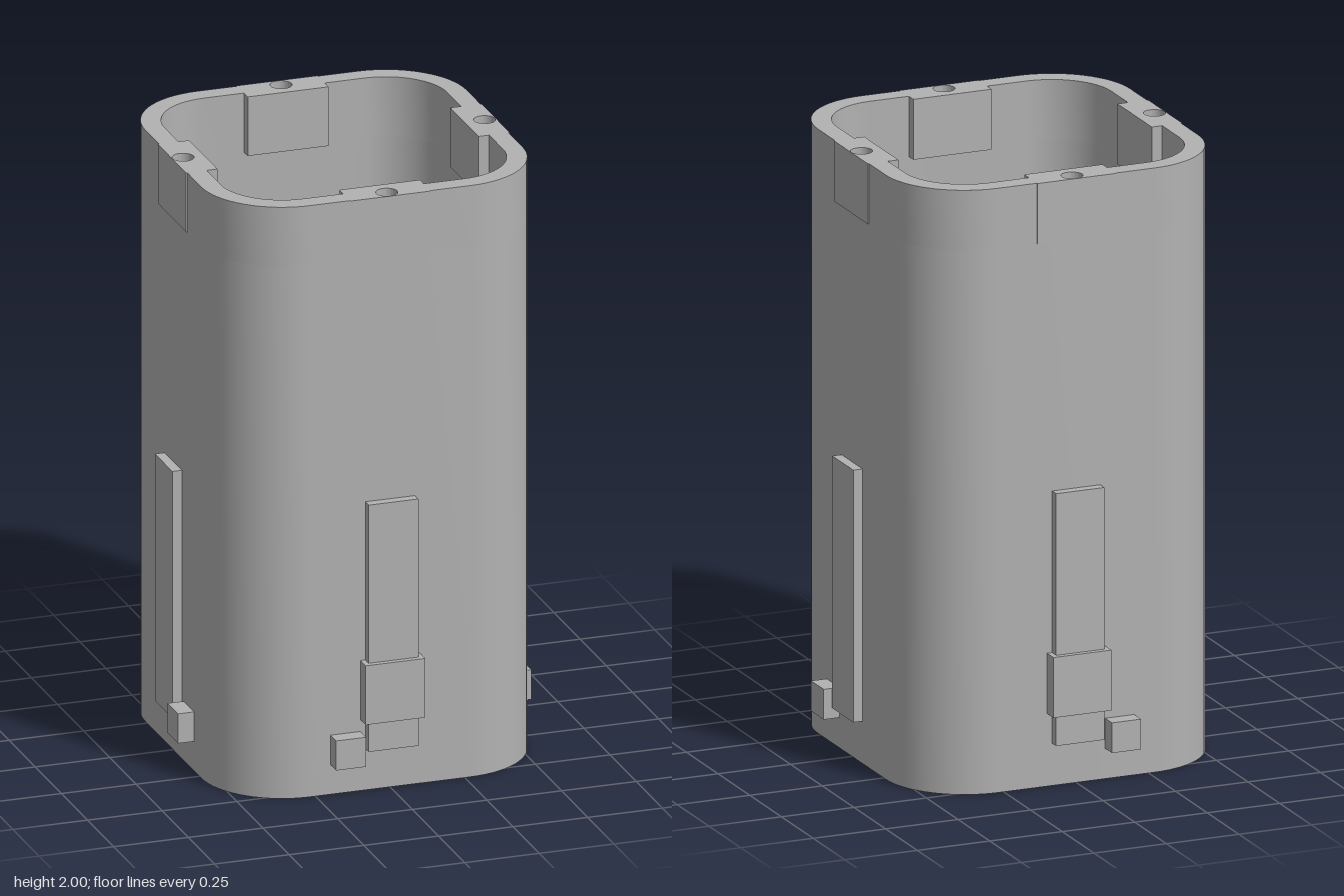
import * as THREE from 'three';
import { toCreasedNormals } from 'three/addons/utils/BufferGeometryUtils.js';

const OUTER = 0.538, INNER = 0.473, TAB = 0.135;

// Rounded square outline; tab is the distance of an optional flat pad on each side
function outline(half, radius, tab) {
  const points = [];
  const origin = new THREE.Vector2();
  for (let side = 0; side < 4; side++) {
    const add = (x, y) => points.push(new THREE.Vector2(x, y).rotateAround(origin, side * Math.PI / 2));
    if (tab) {
      add(half, -TAB);
      add(tab, -TAB);
      add(tab, TAB);
      add(half, TAB);
    }
    for (let i = 0; i <= 16; i++) {
      const a = i / 16 * Math.PI / 2;
      add(half - radius + radius * Math.cos(a), half - radius + radius * Math.sin(a));
    }
  }
  return points;
}

function circle(x, y, r) {
  return new THREE.Path().absarc(x, y, r, 0, Math.PI * 2, true);
}

function extrude(shape, depth) {
  return new THREE.ExtrudeGeometry(shape, { depth, bevelEnabled: false, curveSegments: 24 });
}

export function createModel() {
  const model = new THREE.Group();
  model.name = 'squareTube';
  const grey = new THREE.MeshStandardMaterial({ color: 0xb2b2b2 });
  grey.name = 'grey';

  const addMesh = (parent, name, geometry) => {
    const mesh = new THREE.Mesh(geometry, grey);
    mesh.name = name;
    parent.add(mesh);
    return mesh;
  };
  const addBox = (parent, name, x0, x1, y0, y1, z0, z1) => {
    const mesh = addMesh(parent, name, new THREE.BoxGeometry(x1 - x0, y1 - y0, z1 - z0));
    mesh.position.set((x0 + x1) / 2, (y0 + y1) / 2, (z0 + z1) / 2);
    return mesh;
  };
  const addRing = (name, outer, holes, y, height) => {
    const shape = new THREE.Shape(outer);
    shape.holes.push(...holes);
    const geometry = toCreasedNormals(extrude(shape, height).rotateX(-Math.PI / 2), 0.5);
    addMesh(model, name, geometry).position.y = y;
  };

  // Plain wall, then the top ring with four thickened pads and screw holes
  addRing('tubeWall', outline(OUTER, 0.27), [new THREE.Path(outline(INNER, 0.205))], 0, 1.8);
  const screwHoles = [[0.505, 0], [-0.505, 0], [0, 0.505], [0, -0.505]].map(([x, y]) => circle(x, y, 0.035));
  addRing('topRing', outline(OUTER, 0.27, 0.542),
    [new THREE.Path(outline(INNER, 0.205, 0.437)), ...screwHoles], 1.8, 0.2);

  // Raised strip on each side
  for (let side = 0; side < 4; side++) {
    const group = new THREE.Group();
    group.name = 'sideStrip';
    group.rotation.y = side * Math.PI / 2;
    addBox(group, 'strip', -0.083, 0.083, 0.14, 0.975, 0.53, 0.57);
    model.add(group);
  }

  // Front and back: clip box and foot cube outside, drilled plate inside
  for (const s of [1, -1]) {
    const z = (a, b) => (s > 0 ? [a, b] : [-b, -a]);
    addBox(model, 'clipBox', -0.1, 0.1, 0.24, 0.44, ...z(0.53, 0.588));
    addBox(model, 'footCube', -0.2, -0.1, 0.1, 0.2, ...z(0.53, 0.592));

    const plate = new THREE.Shape([
      new THREE.Vector2(-TAB, 0.2), new THREE.Vector2(TAB, 0.2),
      new THREE.Vector2(TAB, 0.41), new THREE.Vector2(-TAB, 0.41),
    ]);
    plate.holes.push(circle(0, 0.31, 0.035));
    const mesh = addMesh(model, 'innerPlate', toCreasedNormals(extrude(plate, 0.034), 0.5));
    mesh.position.z = s > 0 ? 0.44 : -0.474;
  }

  // Foot cubes on the left and right sides
  addBox(model, 'footCube', 0.53, 0.592, 0.1, 0.2, 0.1, 0.2);
  addBox(model, 'footCube', -0.592, -0.53, 0.1, 0.2, 0.1, 0.2);

  // Mounting block on the inside of the right wall
  addBox(model, 'innerBlock', -0.476, -0.43, 0.25, 0.6, -0.37, -0.14);

  return model;
}
